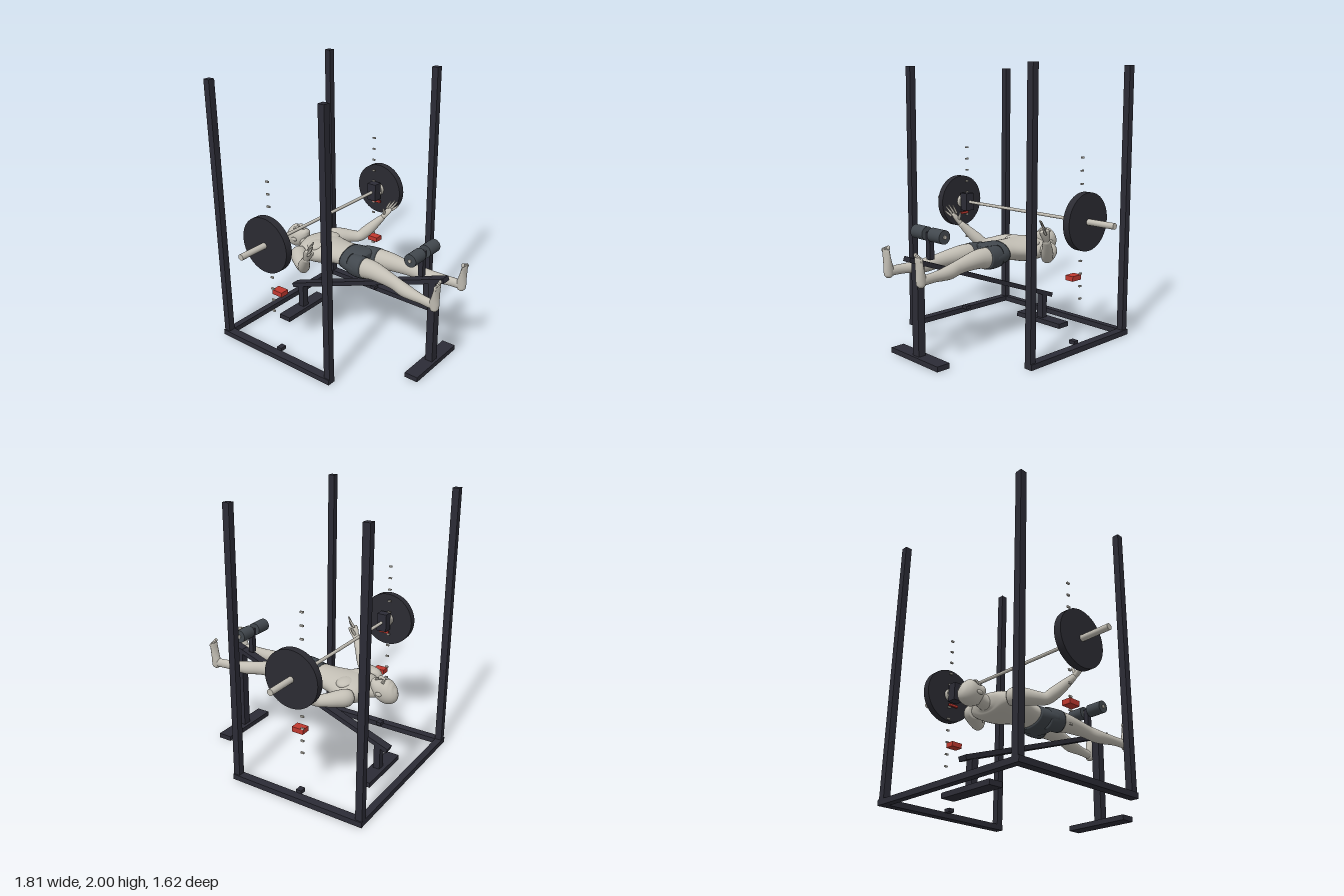
import * as THREE from 'three';

const mat = (name, color) => Object.assign(new THREE.MeshStandardMaterial({ color }), { name });

export function createModel() {
  const root = new THREE.Group();
  root.name = 'benchPressRack';
  const frame = mat('darkFrame', 0x2c2c36);
  const iron = mat('plateIron', 0x2b2b32);
  const steel = mat('steel', 0xc2beb4);
  const skin = mat('skin', 0xc2beb4);
  const cloth = mat('charcoalCloth', 0x42484e);
  const red = mat('safetyRed', 0xc0382f);

  const add = (name, geo, material, x = 0, y = 0, z = 0, parent = root) => {
    const m = new THREE.Mesh(geo, material);
    m.name = name;
    m.position.set(x, y, z);
    parent.add(m);
    return m;
  };
  // Box given by its limits on each axis
  const box = (name, material, [x0, x1], [y0, y1], [z0, z1]) =>
    add(name, new THREE.BoxGeometry(x1 - x0, y1 - y0, z1 - z0), material,
      (x0 + x1) / 2, (y0 + y1) / 2, (z0 + z1) / 2);
  // Cylinder lying along x between two limits
  const rod = (name, material, r, x0, x1, y, z, sides = 32) =>
    add(name, new THREE.CylinderGeometry(r, r, Math.abs(x1 - x0), sides).rotateZ(Math.PI / 2),
      material, (x0 + x1) / 2, y, z);
  const span = (s, a, b) => (s > 0 ? [a, b] : [-b, -a]);
  const ball = (name, material, x, y, z, rx, ry, rz, parent) =>
    add(name, new THREE.SphereGeometry(1, 24, 16).scale(rx, ry, rz), material, x, y, z, parent);

  // Smooth closed loft through rows of [x, y, z, radiusA, radiusB]
  const loft = (rows, up = [0, 1, 0], sides = 24, steps = 4) => {
    const path = new THREE.CatmullRomCurve3(rows.map(r => new THREE.Vector3(r[0], r[1], r[2])));
    const size = new THREE.CatmullRomCurve3(rows.map(r => new THREE.Vector3(r[3], r[4], 0)), false, 'catmullrom', 0.5);
    const n = (rows.length - 1) * steps;
    const pos = [], idx = [], upV = new THREE.Vector3(...up);
    for (let i = 0; i <= n; i++) {
      const c = path.getPoint(i / n), t = path.getTangent(i / n), r = size.getPoint(i / n);
      const a = upV.clone().cross(t).normalize(), b = t.clone().cross(a);
      for (let j = 0; j < sides; j++) {
        const q = (j / sides) * Math.PI * 2;
        const p = c.clone().addScaledVector(a, Math.cos(q) * r.x).addScaledVector(b, Math.sin(q) * r.y);
        pos.push(p.x, p.y, p.z);
        if (i < n) {
          const k = i * sides + j, l = i * sides + (j + 1) % sides;
          idx.push(k, l, k + sides, l, l + sides, k + sides);
        }
      }
    }
    // End caps
    const first = pos.length / 3, last = n * sides;
    for (const r of [rows[0], rows[rows.length - 1]]) pos.push(r[0], r[1], r[2]);
    for (let j = 0; j < sides; j++) {
      const k = (j + 1) % sides;
      idx.push(first, k, j, first + 1, last + j, last + k);
    }
    const g = new THREE.BufferGeometry();
    g.setAttribute('position', new THREE.Float32BufferAttribute(pos, 3));
    g.setIndex(idx);
    g.computeVertexNormals();
    return g;
  };

  // Rack: four uprights, two side rails and a rear crossbar
  box('rearBaseBar', frame, [-0.6, 0.6], [0, 0.04], [-0.81, -0.76]);
  for (const s of [1, -1]) {
    box('sideBaseRail', frame, span(s, 0.597, 0.66), [0, 0.04], [-0.81, 0.245]);
    box('frontUpright', frame, span(s, 0.6, 0.65), [0.04, 2], [0.195, 0.245]);
    box('rearUpright', frame, span(s, 0.6, 0.65), [0.04, 2], [-0.808, -0.757]);
    box('railBlock', frame, span(s, 0.55, 0.6), [0.035, 0.062], [-0.302, -0.26]);
    // Height markers and safety stops
    for (let i = 0; i < 12; i++)
      box('heightPin', steel, span(s, 0.592, 0.604), [0.361 + i * 0.091, 0.373 + i * 0.091], [-0.325, -0.301]);
    box('safetyStop', red, span(s, 0.533, 0.6), [0.505, 0.541], [-0.318, -0.23]);
    box('redCatch', red, span(s, 0.584, 0.6), [0.833, 0.85], [-0.318, -0.24]);
    box('barCradle', frame, span(s, 0.53, 0.6), [0.865, 1.003], [-0.325, -0.247]);
    // Barbell ends
    rod('weightPlate', iron, 0.204, s * 0.63, s * 0.684, 0.933, -0.285, 48);
    rod('barSleeve', steel, 0.022, s * 0.6, s * 0.906, 0.933, -0.285);
    rod('sleeveCollar', steel, 0.05, s * 0.598, s * 0.632, 0.933, -0.285);
  }
  rod('bar', steel, 0.012, -0.61, 0.61, 0.933, -0.285, 20);

  // Decline bench
  box('frontFoot', frame, [-0.253, 0.253], [0, 0.037], [0.605, 0.71]);
  box('rearFoot', frame, [-0.226, 0.226], [0, 0.037], [-0.63, -0.525]);
  box('frontPost', frame, [-0.032, 0.032], [0.037, 0.7], [0.632, 0.69]);
  box('rearPost', frame, [-0.028, 0.028], [0.037, 0.24], [-0.6, -0.55]);
  const beam = add('inclinedBeam', new THREE.BoxGeometry(0.07, 0.034, 1.5), frame, 0, 0.465, 0.047);
  beam.rotation.x = -Math.atan2(0.517, 1.409);
  box('rollerPost', frame, [-0.02, 0.02], [0.69, 0.88], [0.535, 0.573]);
  rod('rollerAxle', steel, 0.013, -0.162, 0.162, 0.865, 0.554, 20);
  for (const s of [1, -1]) rod('legRoller', cloth, 0.048, s * 0.028, s * 0.154, 0.865, 0.554);

  // Lying figure
  const body = new THREE.Group();
  body.name = 'lyingFigure';
  root.add(body);
  const part = (name, geo, material, parent = body) => add(name, geo, material, 0, 0, 0, parent);

  part('torso', loft([
    [0, 0.625, -0.495, 0.05, 0.045], [0, 0.63, -0.475, 0.135, 0.065], [0, 0.632, -0.44, 0.188, 0.08],
    [0, 0.633, -0.38, 0.195, 0.09], [0, 0.633, -0.3, 0.176, 0.09], [0, 0.642, -0.22, 0.147, 0.08],
    [0, 0.647, -0.14, 0.125, 0.077], [0, 0.645, -0.06, 0.13, 0.08], [0, 0.64, 0, 0.14, 0.08],
  ], [0, 1, 0], 40), skin);
  part('neck', loft([[0, 0.625, -0.44, 0.085, 0.05], [0, 0.632, -0.49, 0.058, 0.05],
    [0, 0.645, -0.54, 0.048, 0.052], [0, 0.655, -0.59, 0.045, 0.05]]), skin);
  part('head', loft([
    [0, 0.727, -0.507, 0.016, 0.014], [0, 0.715, -0.52, 0.037, 0.03], [0, 0.69, -0.545, 0.051, 0.054],
    [0, 0.67, -0.58, 0.062, 0.079], [0, 0.661, -0.62, 0.069, 0.091], [0, 0.661, -0.655, 0.064, 0.084],
    [0, 0.667, -0.685, 0.044, 0.058], [0, 0.672, -0.7, 0.012, 0.015],
  ], [0, 1, 0], 32), skin);
  // Face
  part('nose', loft([[0, 0.745, -0.607, 0.008, 0.008], [0, 0.754, -0.585, 0.011, 0.011],
    [0, 0.757, -0.57, 0.016, 0.012], [0, 0.742, -0.56, 0.012, 0.008]], [0, 1, 0], 12), skin);
  ball('upperLip', skin, 0, 0.739, -0.547, 0.024, 0.007, 0.005, body);
  ball('lowerLip', skin, 0, 0.737, -0.537, 0.02, 0.008, 0.006, body);

  part('shortsSeat', loft([[0, 0.643, -0.085, 0.132, 0.084], [0, 0.64, -0.03, 0.148, 0.088],
    [0, 0.638, 0.03, 0.16, 0.088], [0, 0.637, 0.07, 0.163, 0.083], [0, 0.637, 0.09, 0.14, 0.07]], [0, 1, 0], 40), cloth);

  // One side's limbs, reused for the other side by flipping x
  const flip = (rows, s) => rows.map(([x, ...rest]) => [s * x, ...rest]);
  const arm = [[0.165, 0.635, -0.425, 0.045, 0.05], [0.205, 0.637, -0.41, 0.064, 0.064],
    [0.25, 0.636, -0.365, 0.06, 0.058], [0.295, 0.63, -0.31, 0.05, 0.048], [0.335, 0.63, -0.255, 0.042, 0.042],
    [0.372, 0.67, -0.215, 0.044, 0.044], [0.415, 0.73, -0.165, 0.035, 0.036], [0.455, 0.795, -0.112, 0.024, 0.022]];
  const leg = [[0.088, 0.64, 0.05, 0.068, 0.076], [0.09, 0.645, 0.13, 0.072, 0.076],
    [0.094, 0.65, 0.2, 0.068, 0.069], [0.105, 0.643, 0.3, 0.056, 0.059], [0.115, 0.634, 0.38, 0.046, 0.052],
    [0.122, 0.626, 0.43, 0.044, 0.05], [0.136, 0.616, 0.5, 0.048, 0.049], [0.15, 0.614, 0.57, 0.042, 0.042],
    [0.164, 0.615, 0.65, 0.031, 0.035], [0.172, 0.614, 0.71, 0.027, 0.034], [0.176, 0.612, 0.77, 0.026, 0.034]];
  const shortsLeg = [[0.085, 0.638, 0, 0.066, 0.08], [0.088, 0.639, 0.06, 0.075, 0.084], [0.09, 0.643, 0.127, 0.077, 0.082]];
  const foot = [[0.177, 0.568, 0.78, 0.012, 0.014], [0.177, 0.582, 0.777, 0.027, 0.029],
    [0.177, 0.62, 0.774, 0.031, 0.036], [0.177, 0.67, 0.78, 0.034, 0.028], [0.178, 0.72, 0.787, 0.038, 0.019],
    [0.178, 0.76, 0.792, 0.04, 0.013], [0.178, 0.772, 0.793, 0.036, 0.008]];
  const fingerTips = [[0.515, 0.895, -0.012], [0.504, 0.93, -0.012], [0.485, 0.945, -0.022], [0.457, 0.943, -0.04]];

  for (const s of [1, -1]) {
    const side = new THREE.Group();
    side.name = s > 0 ? 'leftLimbs' : 'rightLimbs';
    body.add(side);
    part('arm', loft(flip(arm, s)), skin, side);
    part('leg', loft(flip(leg, s)), skin, side);
    part('shortsLeg', loft(flip(shortsLeg, s)), cloth, side);
    part('foot', loft(flip(foot, s), [0, 0, 1]), skin, side);
    for (let i = 0; i < 5; i++) // big toe is innermost
      ball('toe', skin, s * (0.148 + i * 0.0155), 0.782 - i * 0.006, 0.793, i ? 0.008 : 0.012, 0.016, 0.011, side);
    // Hand: palm, four fingers and thumb
    part('palm', loft(flip([[0.45, 0.787, -0.118, 0.022, 0.021], [0.463, 0.815, -0.098, 0.028, 0.018],
      [0.474, 0.85, -0.076, 0.036, 0.016], [0.481, 0.874, -0.06, 0.034, 0.011]], s), [s, 0, 0.9], 20), skin, side);
    const finger = (name, from, to, r) => {
      const mid = from.map((v, k) => (v + to[k]) / 2);
      part(name, loft(flip([[...from, r, r], [...mid, r, r], [...to, r * 0.6, r * 0.6]], s), [1, 0, 0.3], 10), skin, side);
    };
    fingerTips.forEach((tip, i) =>
      finger('finger', [0.497 - i * 0.011, 0.85 + i * 0.008, -0.058 - i * 0.009], tip, 0.0085));
    finger('thumb', [0.458, 0.815, -0.1], [0.42, 0.88, -0.085], 0.011);
    ball('chestMuscle', skin, s * 0.078, 0.686, -0.34, 0.084, 0.037, 0.07, body);
    ball('ear', skin, s * 0.068, 0.655, -0.59, 0.009, 0.016, 0.026, body);
    ball('brow', skin, s * 0.026, 0.735, -0.612, 0.022, 0.01, 0.007, body);
    ball('eyelid', skin, s * 0.026, 0.733, -0.598, 0.013, 0.008, 0.007, body);
  }
  return root;
}
